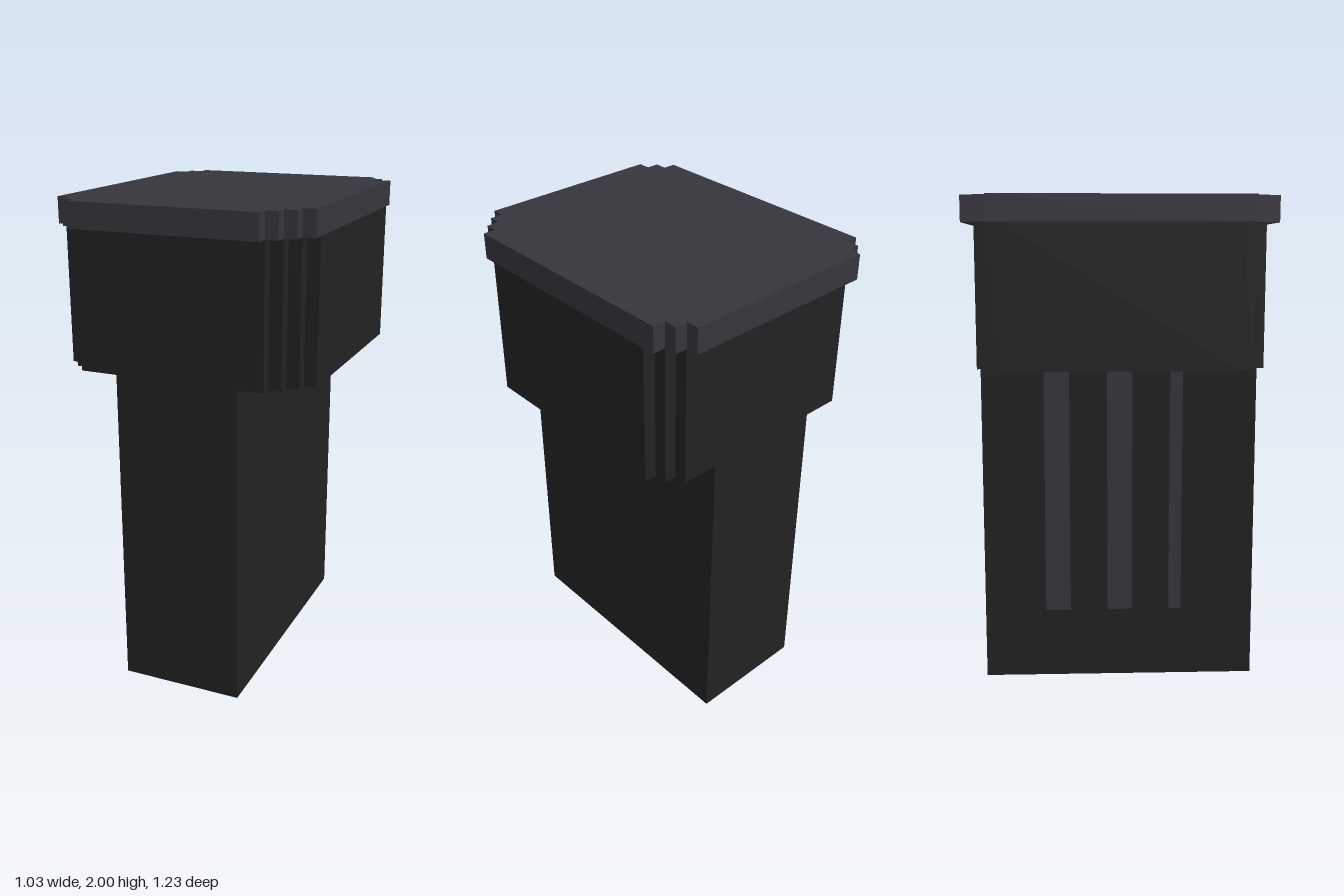
import * as THREE from 'three';

const U = 2 / 39; // size of one block step

export function createModel() {
  const charcoal = new THREE.MeshStandardMaterial({ color: 0x222222 });
  charcoal.name = 'charcoal';
  const slate = new THREE.MeshStandardMaterial({ color: 0x37353d });
  slate.name = 'slate';

  const group = new THREE.Group();
  group.name = 'steppedPillar';

  function add(name, geometry, material) {
    const mesh = new THREE.Mesh(geometry, material);
    mesh.name = name;
    group.add(mesh);
  }

  // Box given by its limits in block steps
  function block(name, x0, x1, y0, y1, z0, z1, material) {
    const geometry = new THREE.BoxGeometry((x1 - x0) * U, (y1 - y0) * U, (z1 - z0) * U);
    geometry.translate((x0 + x1) * U / 2, (y0 + y1) * U / 2, (z0 + z1) * U / 2);
    add(name, geometry, material);
  }

  // Slab with stair-stepped corners; the front left corner has one step more
  function slab(name, halfDepth, y0, y1, material) {
    const shape = new THREE.Shape();
    const corners = [[1, 1, 3], [-1, 1, 2], [-1, -1, 2], [1, -1, 2]];
    const points = [];
    for (const [sx, sz, steps] of corners) {
      const corner = [];
      for (let i = 0; i <= steps; i++) {
        corner.push([sx * (10 - i), sz * (halfDepth - steps + i)]);
        if (i < steps) corner.push([sx * (10 - i - 1), sz * (halfDepth - steps + i)]);
      }
      if (sx * sz < 0) corner.reverse();
      points.push(...corner);
    }
    shape.setFromPoints(points.map(([x, z]) => new THREE.Vector2(x * U, z * U)));
    const geometry = new THREE.ExtrudeGeometry(shape, { depth: (y1 - y0) * U, bevelEnabled: false });
    geometry.rotateX(Math.PI / 2).translate(0, y1 * U, 0);
    add(name, geometry, material);
  }

  // Main column, wide head and overhanging cap
  block('stem', -5, 5, 0, 26, -11, 11, charcoal);
  slab('head', 11, 26, 37, charcoal);
  slab('cap', 12, 37, 39, slate);

  // Raised vertical ribs on the right side of the stem
  for (const [z0, z1] of [[-6, -4], [-1, 1], [4, 5]]) {
    block('rib', -6, -5, 6, 26, z0, z1, slate);
  }

  return group;
}
